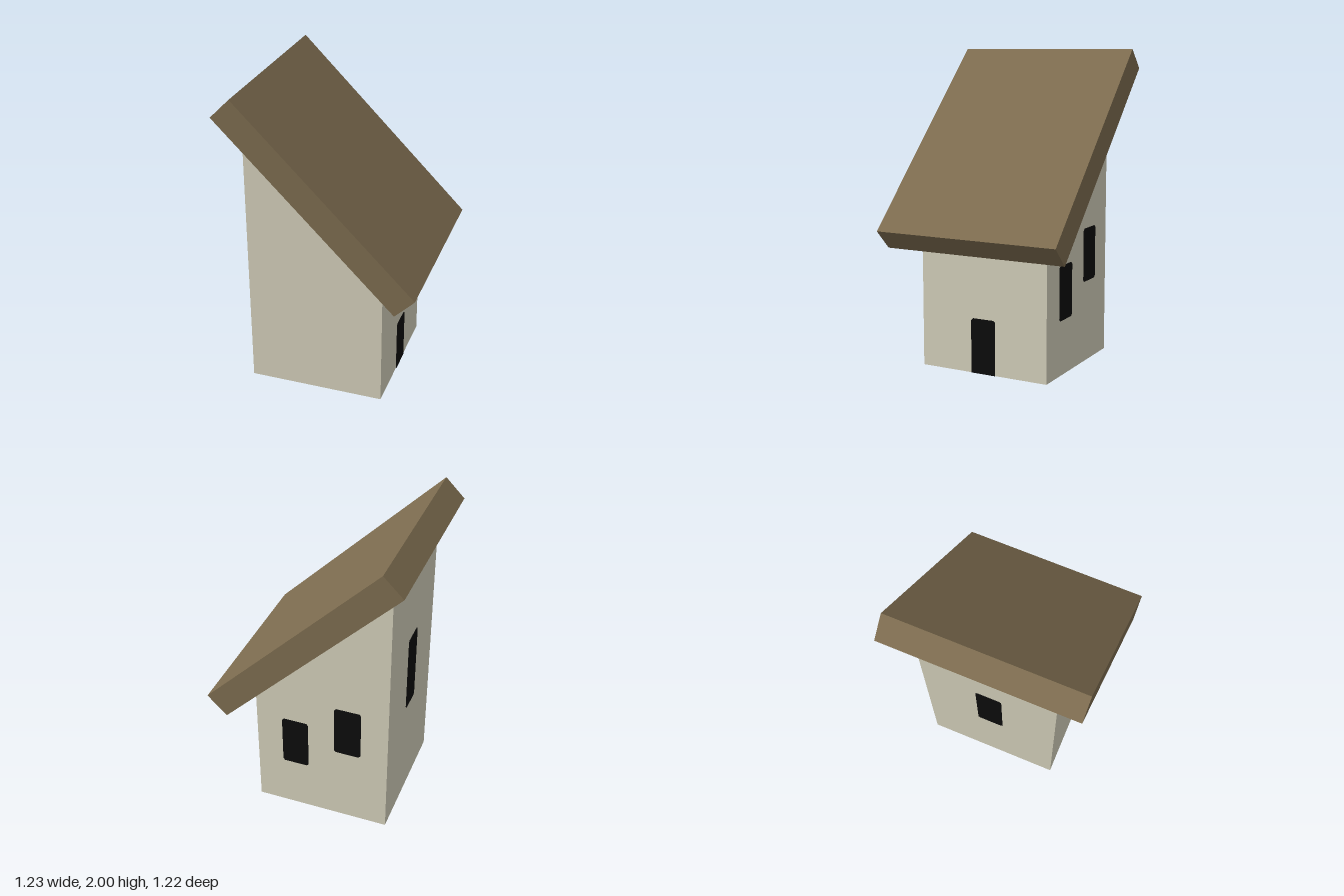
import * as THREE from 'three';

const mat = (name, color) => {
  const m = new THREE.MeshStandardMaterial({ color });
  m.name = name;
  return m;
};

export function createModel() {
  const plaster = mat('plaster', 0xd5d1bc);
  const timber = mat('timber', 0x7e6d50);
  const dark = mat('darkOpening', 0x0c0c0c);

  const house = new THREE.Group();
  house.name = 'house';
  const add = (name, geometry, material) => {
    const mesh = new THREE.Mesh(geometry, material);
    mesh.name = name;
    house.add(mesh);
    return mesh;
  };

  // Walls: a sloped-top profile extruded from back to front
  const left = -0.505, right = 0.37, halfDepth = 0.437;
  const profile = new THREE.Shape([
    new THREE.Vector2(left, 0),
    new THREE.Vector2(right, 0),
    new THREE.Vector2(right, 0.88),
    new THREE.Vector2(left, 1.755),
  ]);
  const wallGeometry = new THREE.ExtrudeGeometry(profile, { depth: halfDepth * 2, bevelEnabled: false });
  wallGeometry.translate(0, 0, -halfDepth);
  add('walls', wallGeometry, plaster);

  // Roof: one thick slab pitched at 45 degrees
  const roof = add('roof', new THREE.BoxGeometry(1.57, 0.174, 1.223), timber);
  roof.position.set(0, 1.3834, 0);
  roof.rotation.z = -Math.PI / 4;

  // Openings: thin dark plates with clipped corners (top only for the door)
  const opening = (name, w, h, x, y, z, turn, clipBottom = true) => {
    const c = 0.012, b = clipBottom ? c : 0, s = new THREE.Shape();
    s.moveTo(-w / 2 + b, 0);
    s.lineTo(w / 2 - b, 0);
    if (b) s.lineTo(w / 2, b);
    s.lineTo(w / 2, h - c);
    s.lineTo(w / 2 - c, h);
    s.lineTo(-w / 2 + c, h);
    s.lineTo(-w / 2, h - c);
    if (b) s.lineTo(-w / 2, b);
    const plate = add(name, new THREE.ExtrudeGeometry(s, { depth: 0.004, bevelEnabled: false }), dark);
    plate.position.set(x, y, z);
    plate.rotation.y = turn;
  };
  opening('door', 0.168, 0.35, right, 0, 0, Math.PI / 2, false);
  opening('tallWindow', 0.168, 0.525, left, 0.705, 0, -Math.PI / 2);
  opening('lowerBackWindow', 0.174, 0.345, 0.11, 0.35, -halfDepth, Math.PI);
  opening('upperBackWindow', 0.174, 0.345, -0.241, 0.528, -halfDepth, Math.PI);

  return house;
}
